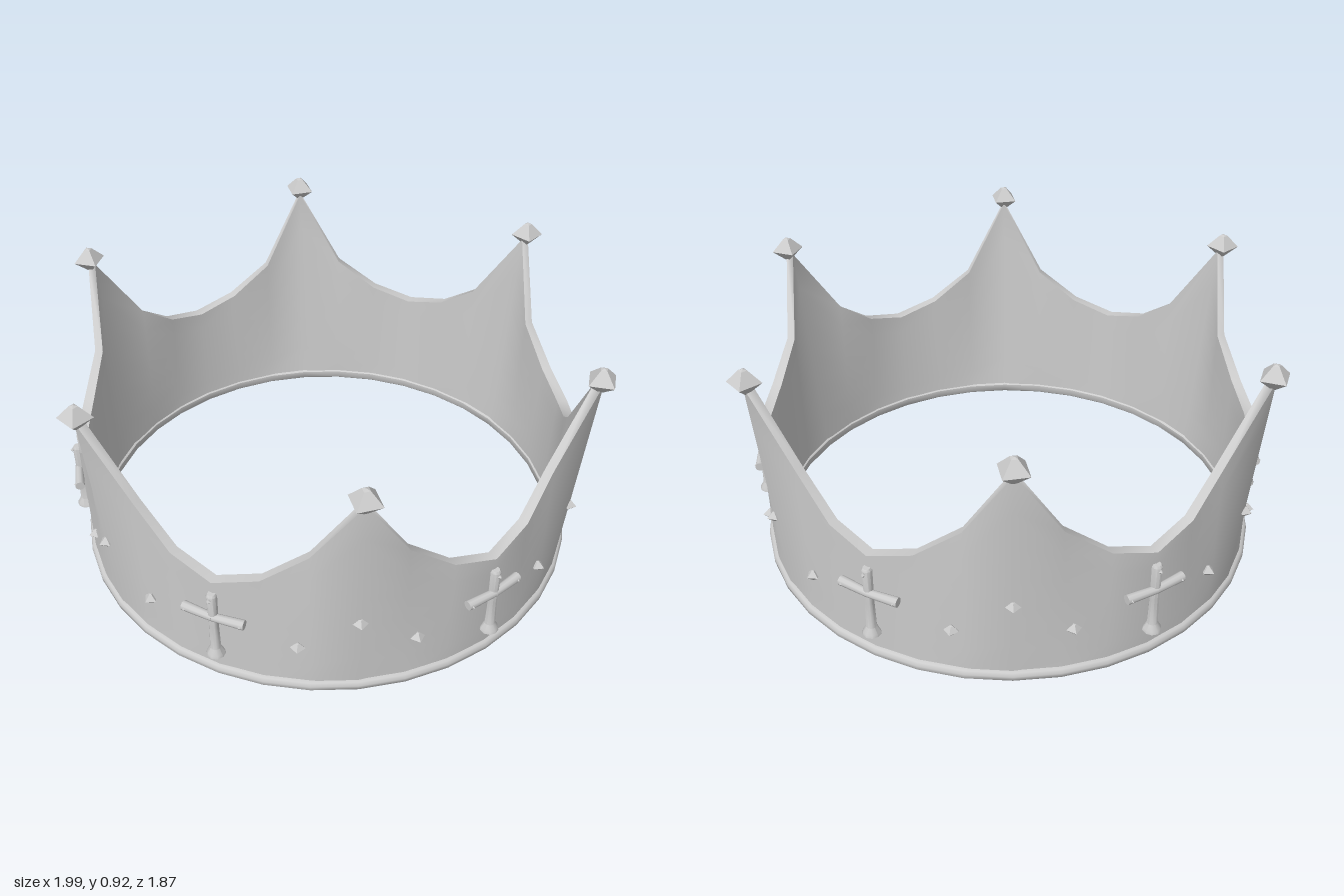
import * as THREE from 'three';
import { toCreasedNormals } from 'three/addons/utils/BufferGeometryUtils.js';

const mat = new THREE.MeshStandardMaterial({ color: 0xcccccc, roughness: 0.6, side: THREE.DoubleSide });
const DEG = Math.PI / 180;
const COLS = 36; // six columns per point of the crown

// Rim height, outer and inner rim radius at 0, 10, 20 and 30 degrees from a point
const rimY = [0.86, 0.59, 0.477, 0.432];
const rimOuter = [0.955, 0.88, 0.887, 0.9];
const rimInner = [0.925, 0.85, 0.852, 0.862];
const baseY = 0.02, baseOuter = 0.885, baseInner = 0.85;

const polar = (r, y, a) => new THREE.Vector3(r * Math.cos(a), y, r * Math.sin(a));

function mesh(name, geometry, parent) {
  const m = new THREE.Mesh(geometry, mat);
  m.name = name;
  parent.add(m);
  return m;
}

// Closed strip around the crown; point(column, t) gives its surface
function strip(rows, point) {
  const pos = [], index = [];
  for (let i = 0; i < COLS; i++)
    for (let j = 0; j <= rows; j++) pos.push(...point(i, j / rows).toArray());
  const id = (i, j) => (i % COLS) * (rows + 1) + j;
  for (let i = 0; i < COLS; i++)
    for (let j = 0; j < rows; j++)
      index.push(id(i, j), id(i, j + 1), id(i + 1, j), id(i + 1, j), id(i, j + 1), id(i + 1, j + 1));
  const g = new THREE.BufferGeometry();
  g.setAttribute('position', new THREE.Float32BufferAttribute(pos, 3));
  g.setIndex(index);
  g.computeVertexNormals();
  return g;
}

function wallPoint(i, t, base, rim) {
  const k = i % 6, d = Math.min(k, 6 - k); // steps from the nearest point
  return polar(THREE.MathUtils.lerp(base, rim[d], t), THREE.MathUtils.lerp(baseY, rimY[d], t), (i * 2 * Math.PI) / COLS);
}

// Four-sided cut stone
function gemGeometry(size) {
  const profile = [[0, -0.95], [0.2, -0.85], [1.2, 0], [0.3, 0.9], [0, 1]]
    .map(([r, y]) => new THREE.Vector2(r * size, y * size));
  return toCreasedNormals(new THREE.LatheGeometry(profile, 4), 0.3);
}

// Cross of round bars, origin on the wall, facing +z
function makeCross() {
  const cross = new THREE.Group();
  cross.name = 'cross';
  const profile = [[0, 0.115], [0.032, 0.115], [0.03, 0.125], [0.018, 0.145], [0.016, 0.25], [0.018, 0.38], [0.013, 0.388], [0, 0.388]]
    .map(([r, y]) => new THREE.Vector2(r, y));
  mesh('crossUpright', toCreasedNormals(new THREE.LatheGeometry(profile, 10), 0.7), cross).position.z = 0.006;
  // Cross arm bends with the wall
  const arm = new THREE.Group();
  arm.name = 'crossArm';
  cross.add(arm);
  for (const s of [-1, 1]) {
    const bar = mesh('armHalf', new THREE.CylinderGeometry(0.017, 0.014, 0.11, 10), arm);
    bar.rotation.set(0, s * 0.08, -s * Math.PI / 2);
    bar.rotation.order = 'YXZ';
    bar.position.set(s * 0.054, 0.288, 0.008);
  }
  // Tiny beads at the ends
  for (const [x, y, z] of [[-0.098, 0.288, 0.018], [0.098, 0.288, 0.018], [0, 0.37, 0.026]])
    mesh('crossBead', new THREE.OctahedronGeometry(0.008), cross).position.set(x, y, z);
  return cross;
}

export function createModel() {
  const crown = new THREE.Group();
  crown.name = 'crown';

  // Wall: outside, rim and inside
  const wall = new THREE.Group();
  wall.name = 'wall';
  crown.add(wall);
  mesh('outerWall', strip(6, (i, t) => wallPoint(i, t, baseOuter, rimOuter)), wall);
  mesh('wallRim', strip(1, (i, t) => wallPoint(i, 1, 0, t ? rimInner : rimOuter)), wall);
  mesh('innerWall', strip(6, (i, t) => wallPoint(i, 1 - t, baseInner, rimInner)), wall);

  // Rounded band around the foot
  const band = [[0.845, 0.008], [0.853, 0], [0.89, 0], [0.899, 0.008], [0.9, 0.024], [0.894, 0.036], [0.883, 0.041],
    [0.853, 0.041], [0.845, 0.034], [0.845, 0.008]].map(([r, y]) => new THREE.Vector2(r, y));
  mesh('baseBand', toCreasedNormals(new THREE.LatheGeometry(band, COLS), 0.8), crown);

  const tipGem = gemGeometry(0.048), stud = gemGeometry(0.021);
  for (let n = 0; n < 6; n++) {
    const a = n * 60 * DEG;

    // Stone on the tip of each point
    const gem = mesh('tipGem', tipGem, crown);
    gem.position.copy(polar(0.948, 0.875, a));
    gem.rotation.y = -a + 55 * DEG;

    // Studs below the point and to both sides of it
    for (const [offset, y, r] of [[0, 0.335, 0.912], [-12.5, 0.2, 0.888], [12.5, 0.2, 0.888]]) {
      const s = mesh('stud', stud, crown);
      s.position.copy(polar(r, y, a + offset * DEG));
      s.rotation.y = -a - offset * DEG;
    }

    // Cross between two points
    const cross = makeCross(), b = a + 30 * DEG;
    cross.position.copy(polar(0.896, 0, b));
    cross.rotation.y = Math.PI / 2 - b;
    crown.add(cross);
  }
  return crown;
}
